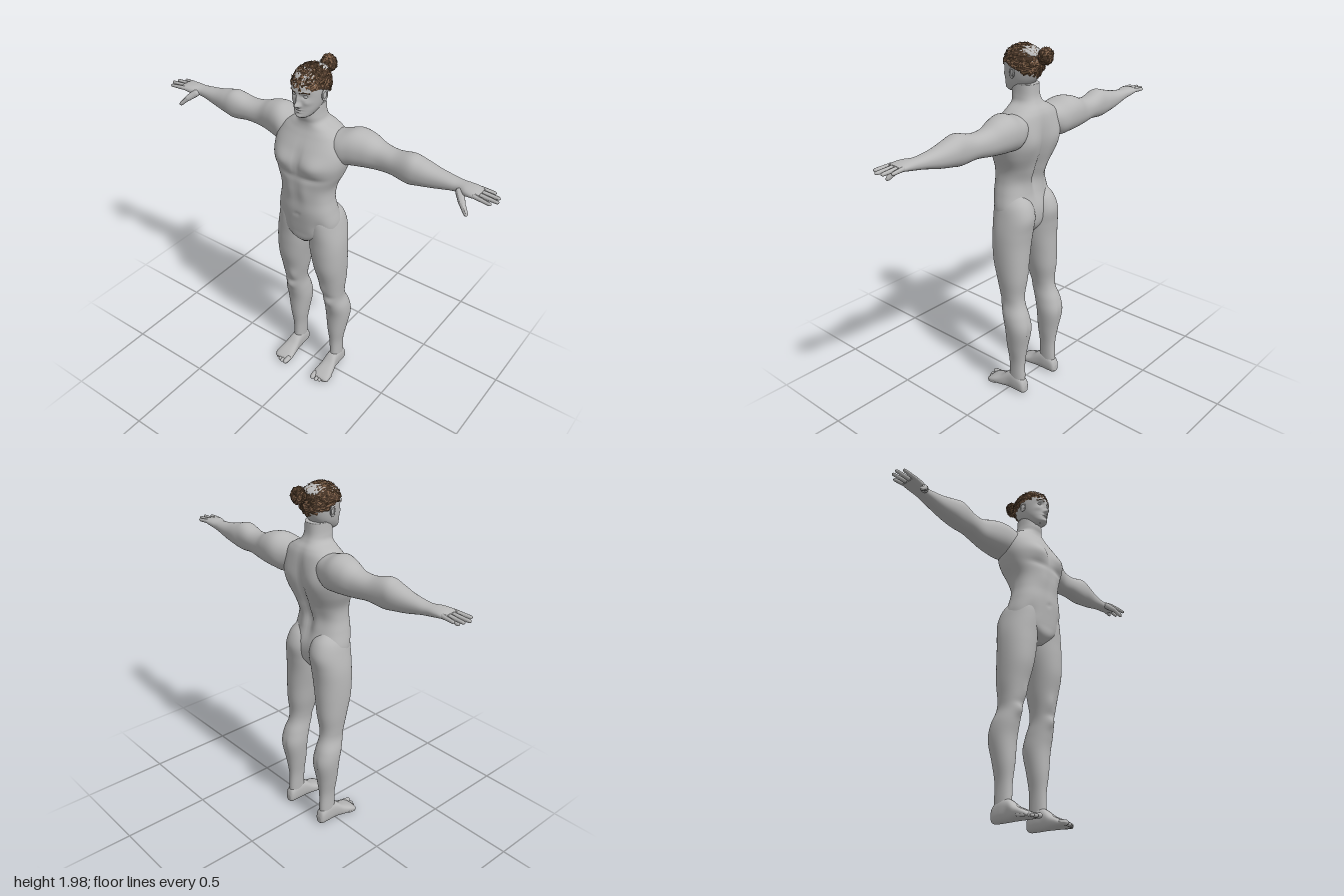
import * as THREE from 'three';
import { mergeGeometries } from 'three/addons/utils/BufferGeometryUtils.js';

const V = (x, y, z) => new THREE.Vector3(x, y, z);
const material = (name, color, extra = {}) => {
  const m = new THREE.MeshStandardMaterial({ color, ...extra });
  m.name = name;
  return m;
};

// Smooth skin through cross-sections [t, aMin, aMax, bMin, bMax] along one axis.
// Bumps are [x, y, radiusX, radiusY, amount, side], mirrored in x and pushed along z.
function loft(rows, axis, { n = 2.2, ring = 48, steps = 6, bumps = [], midZ = 0 } = {}) {
  const spline = (k, u) => {
    const i = Math.min(Math.floor(u), rows.length - 2), f = u - i;
    const at = j => rows[Math.min(Math.max(j, 0), rows.length - 1)][k];
    const [p, q, r, s] = [at(i - 1), at(i), at(i + 1), at(i + 2)];
    return q + 0.5 * f * (r - p + f * (2 * p - 5 * q + 4 * r - s + f * (3 * (q - r) + s - p)));
  };
  const place = { x: (t, a, b) => [t, b, a], y: (t, a, b) => [a, t, b], z: (t, a, b) => [b, a, t] }[axis];
  const pos = [], index = [], count = (rows.length - 1) * steps;
  const power = v => Math.sign(v) * Math.pow(Math.abs(v), 2 / n);
  const push = p => {
    let z = p[2];
    for (const [x, y, rx, ry, amount, side] of bumps) {
      const w = Math.min(Math.max(side * (p[2] - midZ) / 0.05, 0), 1);
      z += side * amount * w * Math.exp(-(((Math.abs(p[0]) - x) / rx) ** 2) - ((p[1] - y) / ry) ** 2);
    }
    pos.push(p[0], p[1], z);
  };
  for (let i = 0; i <= count; i++) {
    const [t, a0, a1, b0, b1] = [0, 1, 2, 3, 4].map(k => spline(k, i / steps));
    for (let j = 0; j < ring; j++) {
      const th = (j / ring) * Math.PI * 2;
      push(place(t, (a0 + a1) / 2 + (a1 - a0) / 2 * power(Math.cos(th)), (b0 + b1) / 2 + (b1 - b0) / 2 * power(Math.sin(th))));
    }
  }
  for (let i = 0; i < count; i++) for (let j = 0; j < ring; j++) {
    const a = i * ring + j, b = i * ring + (j + 1) % ring;
    index.push(a, a + ring, b, b, a + ring, b + ring);
  }
  // End caps
  for (const [row, start, flip] of [[rows[0], 0, false], [rows[rows.length - 1], count * ring, true]]) {
    const c = pos.length / 3;
    push(place(row[0], (row[1] + row[2]) / 2, (row[3] + row[4]) / 2));
    for (let j = 0; j < ring; j++) {
      const a = start + j, b = start + (j + 1) % ring;
      index.push(c, flip ? b : a, flip ? a : b);
    }
  }
  const g = new THREE.BufferGeometry();
  g.setAttribute('position', new THREE.Float32BufferAttribute(pos, 3));
  g.setIndex(index);
  g.computeVertexNormals();
  return g;
}

// Tapered rounded finger or toe between two points
function digit(a, b, r, taper = 0.3) {
  const d = b.clone().sub(a), len = d.length();
  const g = new THREE.CapsuleGeometry(r, len - r, 6, 12, 4);
  const p = g.attributes.position;
  for (let i = 0; i < p.count; i++) {
    const s = 1 - taper * (p.getY(i) / len + 0.5);
    p.setXYZ(i, p.getX(i) * s, p.getY(i), p.getZ(i) * s);
  }
  g.computeVertexNormals();
  g.applyQuaternion(new THREE.Quaternion().setFromUnitVectors(V(0, 1, 0), d.normalize()));
  return g.translate((a.x + b.x) / 2, (a.y + b.y) / 2, (a.z + b.z) / 2);
}

function mirrored(g) {
  const m = g.clone().scale(-1, 1, 1), ix = m.index.array;
  for (let i = 0; i < ix.length; i += 3) [ix[i], ix[i + 1]] = [ix[i + 1], ix[i]];
  m.computeVertexNormals();
  return m;
}

export function createModel() {
  const model = new THREE.Group();
  const skin = material('skin grey', 0xb8b8b8);
  const hair = material('hair brown', 0x7d5f48, { flatShading: true, side: THREE.DoubleSide });
  const darkHair = material('dark hair brown', 0x59432f, { flatShading: true, side: THREE.DoubleSide });
  const add = (name, g, mat = skin) => {
    const m = new THREE.Mesh(g, mat);
    m.name = name;
    model.add(m);
  };
  const pair = (name, g, mat) => {
    add('left' + name, g, mat);
    add('right' + name, mirrored(g), mat);
  };
  const symmetric = rows => rows.map(([y, w, zb, zf]) => [y, -w, w, zb, zf]);

  // Torso and neck, with chest, belly and back muscles as bumps
  add('torso', loft(symmetric([
    [0.97, 0.03, -0.05, 0.09], [1.01, 0.09, -0.08, 0.125], [1.06, 0.165, -0.092, 0.133],
    [1.12, 0.177, -0.09, 0.14], [1.2, 0.162, -0.068, 0.148], [1.27, 0.149, -0.06, 0.146],
    [1.34, 0.152, -0.085, 0.15], [1.42, 0.185, -0.115, 0.153], [1.49, 0.204, -0.13, 0.148],
    [1.56, 0.2, -0.13, 0.125], [1.62, 0.17, -0.122, 0.092], [1.655, 0.125, -0.108, 0.075],
    [1.685, 0.075, -0.085, 0.07], [1.72, 0.062, -0.07, 0.075], [1.78, 0.058, -0.065, 0.07],
  ]), 'y', {
    n: 2.4, ring: 80, steps: 8, bumps: [
      [0.095, 1.49, 0.07, 0.05, 0.022, 1], [0, 1.5, 0.015, 0.07, -0.008, 1], [0.08, 1.415, 0.07, 0.018, -0.008, 1],
      [0.045, 1.32, 0.03, 0.07, 0.006, 1], [0, 1.18, 0.012, 0.012, -0.006, 1], [0.12, 1.1, 0.03, 0.05, -0.01, 1],
      [0, 1.38, 0.025, 0.2, -0.022, -1], [0.1, 1.5, 0.05, 0.08, 0.012, -1], [0.05, 1.28, 0.03, 0.08, 0.01, -1],
    ],
  }));

  // Arms with shoulder, forearm and palm
  pair('Arm', loft([
    [0.08, -0.1, 0.03, 1.53, 1.635], [0.16, -0.132, 0.06, 1.475, 1.652], [0.23, -0.145, 0.045, 1.478, 1.672],
    [0.3, -0.14, 0.022, 1.485, 1.66], [0.37, -0.125, 0.004, 1.492, 1.632], [0.45, -0.115, 0.008, 1.5, 1.625],
    [0.54, -0.11, 0.02, 1.49, 1.645], [0.6, -0.11, 0.015, 1.5, 1.632], [0.68, -0.1, 0, 1.515, 1.612],
    [0.76, -0.09, -0.01, 1.535, 1.6], [0.8, -0.085, -0.01, 1.542, 1.597], [0.84, -0.086, 0.008, 1.548, 1.598],
    [0.88, -0.086, 0.014, 1.556, 1.595], [0.91, -0.081, 0.01, 1.563, 1.588],
  ], 'x'));
  const fingers = [[0.002, 0.014, 0.975], [-0.024, -0.02, 0.996], [-0.049, -0.052, 0.988], [-0.072, -0.08, 0.955]];
  pair('Fingers', mergeGeometries(fingers.map(([z0, z1, x]) => digit(V(0.885, 1.577, z0), V(x, 1.573, z1), 0.0125))));
  pair('Thumb', mergeGeometries([
    digit(V(0.81, 1.568, -0.015), V(0.852, 1.532, 0.03), 0.021, 0.25),
    digit(V(0.845, 1.538, 0.024), V(0.885, 1.498, 0.048), 0.015),
  ]));

  // Legs with buttock, knee and calf
  pair('Leg', loft([
    [0.04, 0.107, 0.167, -0.1, 0.005], [0.1, 0.105, 0.168, -0.102, 0], [0.2, 0.1, 0.17, -0.1, 0],
    [0.3, 0.085, 0.187, -0.113, 0.01], [0.42, 0.07, 0.205, -0.135, 0.016], [0.5, 0.072, 0.204, -0.12, 0.033],
    [0.57, 0.077, 0.188, -0.092, 0.05], [0.63, 0.07, 0.19, -0.085, 0.06], [0.72, 0.05, 0.2, -0.095, 0.08],
    [0.82, 0.032, 0.206, -0.098, 0.105], [0.92, 0.013, 0.207, -0.1, 0.114], [1, 0.004, 0.202, -0.108, 0.117],
    [1.08, 0.003, 0.187, -0.118, 0.122], [1.15, 0.012, 0.168, -0.095, 0.12], [1.2, 0.04, 0.135, -0.05, 0.1],
  ], 'y', {
    bumps: [[0.132, 0.56, 0.028, 0.03, 0.01, 1], [0.132, 0.6, 0.05, 0.02, -0.005, 1],
      [0.1, 0.66, 0.025, 0.04, 0.008, 1], [0.135, 0.4, 0.008, 0.06, -0.006, -1]],
  }));

  // Feet and toes
  pair('Foot', loft([
    [-0.115, 0.012, 0.05, 0.12, 0.154], [-0.1, 0.002, 0.09, 0.108, 0.167], [-0.05, 0, 0.12, 0.102, 0.172],
    [0, 0, 0.11, 0.1, 0.174], [0.05, 0, 0.072, 0.094, 0.187], [0.1, 0, 0.048, 0.087, 0.197],
    [0.13, 0.002, 0.032, 0.09, 0.194], [0.14, 0.006, 0.022, 0.1, 0.18],
  ], 'z', { n: 2.5, ring: 36 }));
  const toes = [[0.102, 0.164, 0.0165], [0.128, 0.162, 0.0115], [0.148, 0.154, 0.011], [0.168, 0.144, 0.0105], [0.186, 0.13, 0.01]];
  pair('Toes', mergeGeometries(toes.map(([x, z, r]) => digit(V(x, r + 0.006, z - 0.05), V(x + 0.002, r, z - r * 0.4), r, 0.12))));

  // Head with nose, brows, eye sockets, lips and chin as bumps
  add('head', loft(symmetric([
    [1.728, 0.024, 0.05, 0.108], [1.742, 0.042, 0.015, 0.122], [1.77, 0.059, -0.03, 0.122],
    [1.8, 0.069, -0.06, 0.122], [1.84, 0.076, -0.083, 0.124], [1.87, 0.078, -0.09, 0.126],
    [1.9, 0.077, -0.09, 0.124], [1.94, 0.063, -0.075, 0.1], [1.965, 0.03, -0.035, 0.055],
  ]), 'y', {
    ring: 128, steps: 12, midZ: 0.03, bumps: [
      [0, 1.803, 0.013, 0.013, 0.026, 1], [0, 1.83, 0.009, 0.025, 0.014, 1], [0.012, 1.798, 0.006, 0.007, 0.008, 1],
      [0.03, 1.87, 0.024, 0.008, 0.006, 1], [0.031, 1.847, 0.016, 0.011, -0.01, 1], [0.045, 1.815, 0.016, 0.014, 0.005, 1],
      [0, 1.778, 0.018, 0.005, 0.006, 1], [0, 1.765, 0.016, 0.005, 0.006, 1], [0, 1.7715, 0.022, 0.002, -0.004, 1],
      [0, 1.742, 0.018, 0.01, 0.006, 1],
    ],
  }));
  pair('Eye', new THREE.SphereGeometry(0.012, 20, 14).scale(1.15, 0.7, 0.8).translate(0.031, 1.847, 0.105));
  pair('Ear', mergeGeometries([
    new THREE.SphereGeometry(0.016, 20, 14).scale(0.45, 1.6, 1),
    new THREE.TorusGeometry(0.015, 0.004, 8, 20).rotateY(Math.PI / 2).scale(1, 1.6, 1).translate(0.005, 0, 0),
  ]).rotateY(-0.25).translate(0.079, 1.837, 0.022));
  const browPath = new THREE.CatmullRomCurve3([V(0.013, 1.866, 0.128), V(0.033, 1.872, 0.122), V(0.055, 1.865, 0.103)]);
  pair('Eyebrow', new THREE.TubeGeometry(browPath, 10, 0.003, 6), darkHair);

  // Hair: cap and bun, covered with flat pointed locks swept towards the bun
  let seed = 7;
  const rand = () => (seed = (seed * 16807) % 2147483647) / 2147483647;
  const center = V(0, 1.875, 0.015), bun = V(0, 1.925, -0.125);
  add('hairCap', new THREE.SphereGeometry(1, 28, 16, 0, Math.PI * 2, 0, Math.PI * 0.52).rotateX(-0.36)
    .scale(0.086, 0.093, 0.11).translate(center.x, center.y, center.z), hair);
  add('hairBun', new THREE.SphereGeometry(1, 14, 10).scale(0.038, 0.04, 0.034).translate(bun.x, bun.y, bun.z), hair);
  const locks = [[], []];
  const lock = (p, dir, normal, length, width) => {
    const side = dir.clone().cross(normal).normalize(), out = side.clone().cross(dir);
    const g = new THREE.ConeGeometry(width, length, 4, 2).scale(1, 1, 0.4);
    g.applyMatrix4(new THREE.Matrix4().makeBasis(side, dir, out).setPosition(p));
    locks[rand() < 0.68 ? 0 : 1].push(g);
  };
  const cover = (count, c, radii, lift, aim, length, keep) => {
    for (let i = 0; i < count; i++) {
      const y = 1 - 2 * (i + 0.5) / count, r = Math.sqrt(1 - y * y), a = i * 2.39996;
      const unit = V(r * Math.cos(a), y, r * Math.sin(a));
      const p = unit.clone().multiply(radii).add(c);
      if (!keep(p)) continue;
      const normal = unit.divide(radii).normalize();
      const dir = aim(p, normal).add(V(rand() - 0.5, rand() - 0.5, rand() - 0.5).multiplyScalar(0.7));
      dir.addScaledVector(normal, -dir.dot(normal)).normalize().addScaledVector(normal, lift * rand()).normalize();
      lock(p, dir, normal, length * (0.7 + 0.6 * rand()), 0.008 + 0.006 * rand());
    }
  };
  cover(520, center, V(0.088, 0.095, 0.112), 0.25,
    p => bun.clone().sub(p).normalize().add(V(0, p.y < 1.89 ? -0.5 : 0, 0)), 0.05,
    p => p.y > 1.858 + 0.38 * p.z);
  cover(110, bun, V(0.038, 0.04, 0.034), 0.4,
    (p, normal) => normal.clone().cross(V(0.2, 0.3, 1)), 0.036, () => true);
  add('hairLocks', mergeGeometries(locks[0]), hair);
  add('darkHairLocks', mergeGeometries(locks[1]), darkHair);
  return model;
}
